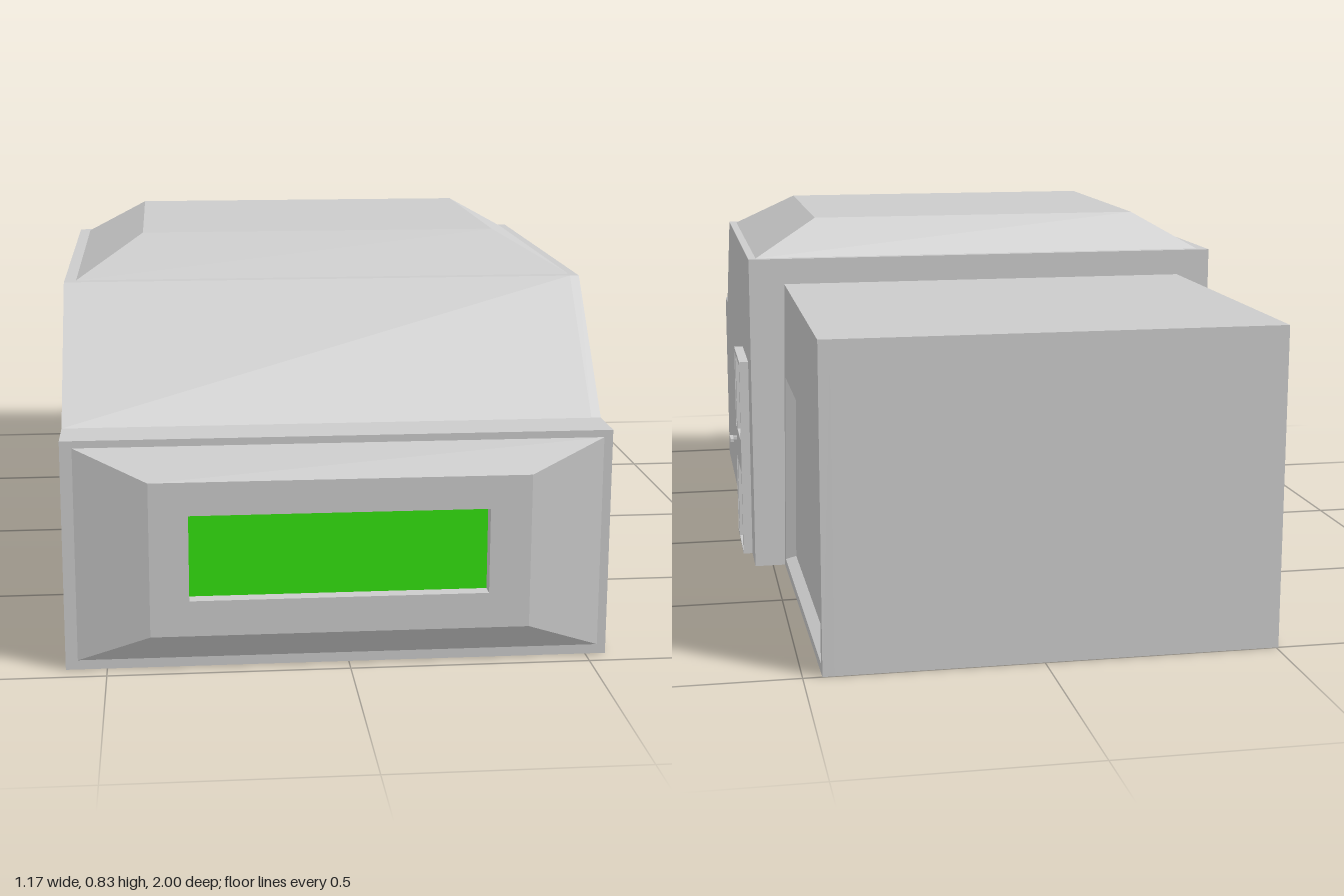
import * as THREE from 'three';

const grey = new THREE.MeshStandardMaterial({ color: 0xcccccc, flatShading: true, side: THREE.DoubleSide });
const green = new THREE.MeshStandardMaterial({ color: 0x33e00f });

function add(parent, name, geometry, material = grey) {
  const mesh = new THREE.Mesh(geometry, material);
  mesh.name = name;
  parent.add(mesh);
  return mesh;
}

// Axis-aligned box from its min and max limits
function block(x0, x1, y0, y1, z0, z1) {
  return new THREE.BoxGeometry(x1 - x0, y1 - y0, z1 - z0)
    .translate((x0 + x1) / 2, (y0 + y1) / 2, (z0 + z1) / 2);
}

const rect = (a0, a1, b0, b1) => [[a0, b0], [a1, b0], [a1, b1], [a0, b1]];
const vectors = pts => pts.map(([a, b]) => new THREE.Vector2(a, b));

// Plate with holes, lying in x/y, from z0 to z1
function plate(outline, holes, z0, z1) {
  const shape = new THREE.Shape(vectors(outline));
  shape.holes = holes.map(h => new THREE.Path(vectors(h)));
  return new THREE.ExtrudeGeometry(shape, { depth: z1 - z0, bevelEnabled: false }).translate(0, 0, z0);
}

// Side wall given as [z, y] points, from x0 to x1
function sideWall(outline, holes, x0, x1) {
  const flip = pts => pts.map(([z, y]) => [-z, y]);
  return plate(flip(outline), holes.map(flip), x0, x1).rotateY(Math.PI / 2);
}

// Sloping faces between two rectangles of 3D corners, with an optional cap
function taper(base, top, capped) {
  const pos = [...base, ...top].flat();
  const index = [];
  for (let i = 0; i < 4; i++) {
    const j = (i + 1) % 4;
    index.push(i, j, j + 4, i, j + 4, i + 4);
  }
  if (capped) index.push(4, 5, 6, 4, 6, 7);
  const g = new THREE.BufferGeometry();
  g.setAttribute('position', new THREE.Float32BufferAttribute(pos, 3));
  g.setIndex(index);
  const flat = g.toNonIndexed();
  flat.computeVertexNormals();
  return flat;
}

// The rear section flares outward towards its front bottom corners
function flare(g) {
  const p = g.attributes.position;
  for (let i = 0; i < p.count; i++) {
    const amount = 0.011 * (p.getZ(i) + 1) / 0.77 * (1 - p.getY(i) / 0.69);
    p.setX(i, p.getX(i) + Math.sign(p.getX(i)) * amount);
  }
  g.computeVertexNormals();
  return g;
}

function createModel() {
  const model = new THREE.Group();
  model.name = 'building';

  // Main body: solid profile plus an outer wall pierced by the side window
  const profile = [[0.96, 0], [0.96, 0.485], [0.855, 0.485], [0.62, 0.75], [-0.23, 0.75], [-0.23, 0]];
  add(model, 'mainBody', sideWall(profile, [], -0.585, 0.523));
  add(model, 'windowWall', sideWall(profile, [rect(0.215, 0.51, 0.2, 0.405)], 0.523, 0.543));
  add(model, 'sideWindow', block(0.52, 0.525, 0.2, 0.405, 0.215, 0.51), green);

  // Hipped roof
  const level = (x0, x1, z0, z1, y) => [[x0, y, z1], [x1, y, z1], [x1, y, z0], [x0, y, z0]];
  add(model, 'roof', taper(level(-0.56, 0.525, -0.21, 0.595, 0.75),
    level(-0.415, 0.375, -0.125, 0.465, 0.835), true));

  // Chamfered front with recessed window
  const upright = (pts, z) => pts.map(([x, y]) => [x, y, z]);
  const face = rect(-0.41, 0.37, 0.08, 0.405);
  const opening = rect(-0.33, 0.285, 0.155, 0.335);
  add(model, 'frontChamfer', taper(upright(rect(-0.56, 0.525, 0.02, 0.47), 0.96), upright(face, 1), false));
  add(model, 'frontPanel', plate(face, [opening], 0.962, 1));
  add(model, 'frontWindow', block(-0.33, 0.285, 0.155, 0.335, 0.961, 0.97), green);

  // Glazed door on the side
  const door = new THREE.Group();
  door.name = 'door';
  model.add(door);
  const panes = [];
  for (const [y0, y1] of [[0.004, 0.205], [0.285, 0.475]]) {
    for (const [z0, z1] of [[0.055, 0.094], [-0.108, 0.033]]) {
      panes.push(rect(z0, z1, y0, y1));
      add(door, 'doorPane', block(0.54, 0.546, y0, y1, z0, z1), green);
    }
  }
  add(door, 'doorFrame', sideWall(rect(-0.12, 0.1, 0, 0.485), panes, 0.543, 0.565));
  add(door, 'handleStem', block(0.565, 0.58, 0.25, 0.258, 0.062, 0.07));
  add(door, 'handleBar', block(0.575, 0.583, 0.25, 0.258, 0.035, 0.08));

  // Rear section: core with a pierced wall on each side
  const rear = new THREE.Group();
  rear.name = 'rearSection';
  model.add(rear);
  const wall = rect(-1, -0.23, 0, 0.69);
  const bay = [-0.975, -0.25, 0.02, 0.47];
  add(rear, 'rearCore', flare(block(-0.47, 0.435, 0, 0.69, -1, -0.23)));
  add(rear, 'rearWindowWall', flare(sideWall(wall, [rect(-0.89, -0.34, 0.09, 0.41)], -0.505, -0.47)));
  add(rear, 'rearWindow', flare(block(-0.476, -0.465, 0.09, 0.41, -0.89, -0.34)), green);
  add(rear, 'bayWall', flare(sideWall(wall, [rect(...bay)], 0.435, 0.46)));

  // Tapered reveal around the shallow bay
  const side = (pts, x) => pts.map(([z, y]) => [x, y, z]);
  add(rear, 'bayReveal', flare(taper(side(rect(...bay), 0.46),
    side(rect(-0.965, -0.26, 0.03, 0.46), 0.436), false)));

  return model;
}

export { createModel };
